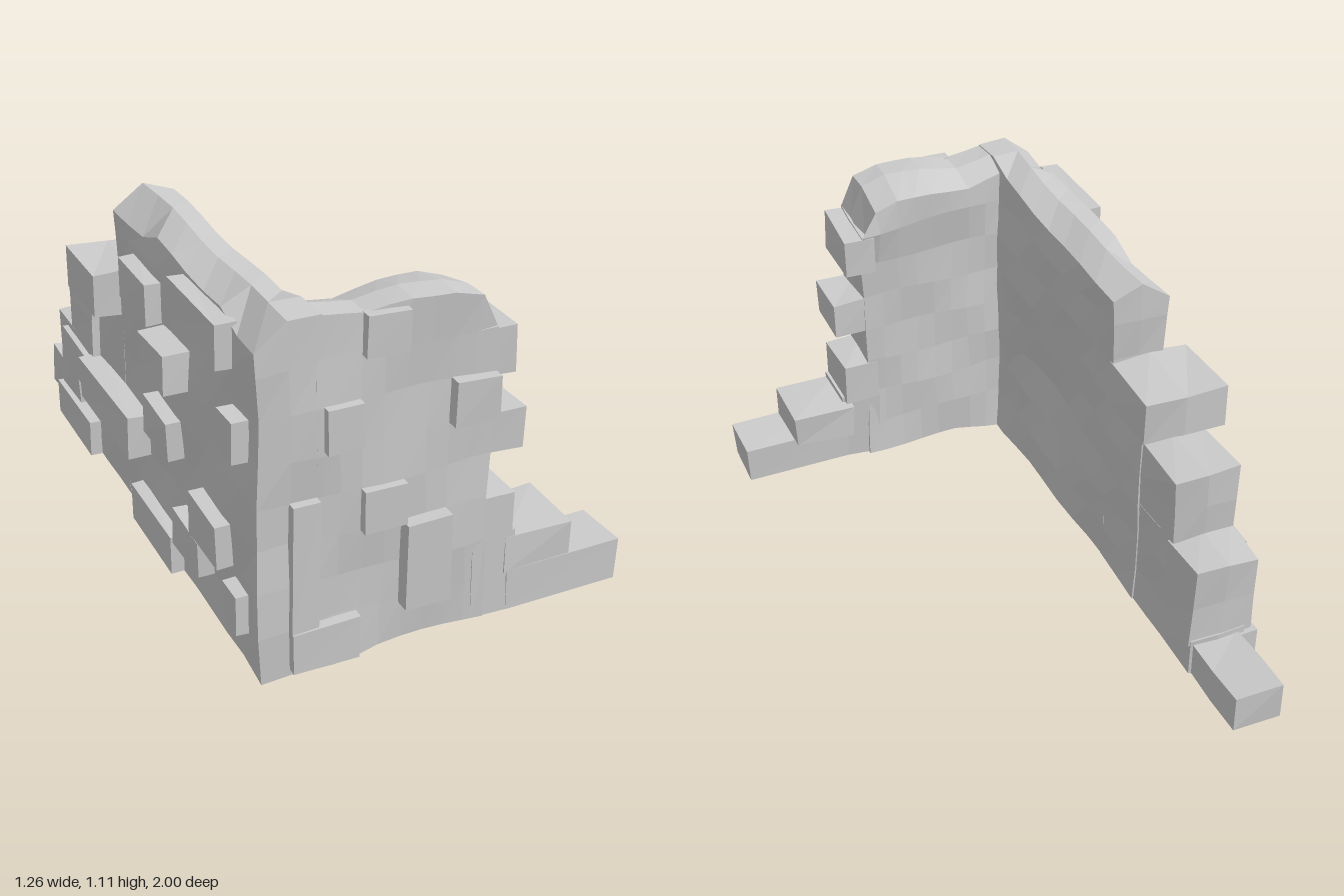
import * as THREE from 'three';

const material = new THREE.MeshStandardMaterial({ color: 0xcccccc, flatShading: true });

// smooth repeatable offset in -1..1 that depends only on position, so neighbours stay joined
const wobble = (x, y, z, seed) =>
  0.55 * Math.sin(x * 9 + y * 8 + z * 5 + seed * 2.1) + 0.45 * Math.sin(x * 14 - y * 15 + z * 11 + seed * 4.7);

// box given by its limits, with slightly uneven corners and an optional shaping rule
function stone(name, [x0, x1], [y0, y1], [z0, z1], segs = [1, 1, 1], rough = 0.008, rule = null) {
  const geo = new THREE.BoxGeometry(x1 - x0, y1 - y0, z1 - z0, ...segs);
  geo.translate((x0 + x1) / 2, (y0 + y1) / 2, (z0 + z1) / 2);
  const p = geo.attributes.position;
  const v = new THREE.Vector3();
  for (let i = 0; i < p.count; i++) {
    v.fromBufferAttribute(p, i);
    const [x, y, z] = v.toArray().map((n) => Math.round(n * 1000) / 1000);
    v.x += wobble(x, y, z, 1) * rough;
    if (y > 0.05) v.y += wobble(x, y, z, 2) * rough;
    v.z += wobble(x, y, z, 3) * rough;
    if (rule) rule(v, x, y, z);
    p.setXYZ(i, v.x, v.y, v.z);
  }
  geo.computeVertexNormals();
  const mesh = new THREE.Mesh(geo, material);
  mesh.name = name;
  return mesh;
}

// sagging foot under the corner
function sag(v, x, y, z) {
  if (y > 0.05) return;
  const d = Math.max(Math.abs(x + 0.35) / 0.2, Math.abs(z - 0.78) / 0.36);
  v.y -= 0.04 * Math.max(0, 1 - d);
  if (x < -0.5 && z > 0.9) v.y = 0.01;
}

// long wall: ridged top that is lower on the outside, and a shallow hollow inside
function longRule(v, x, y, z) {
  sag(v, x, y, z);
  if (y > 1.08) {
    if (x < -0.5) v.y -= z > 0.2 && z < 0.8 ? 0.035 : 0.075;
    else if (x > -0.37 && z < 0.8) v.y -= 0.035;
  }
  if (x > -0.37) v.x -= 0.03 * Math.exp(-(((y - 0.45) / 0.16) ** 2) - ((z - 0.3) / 0.3) ** 2);
}

// short wall: thicker towards its end, with a weathered top that drops at the break
function shortRule(v, x, y, z) {
  sag(v, x, y, z);
  if (z < 0.8) v.z -= Math.max(0, (x + 0.34) / 0.5) * (y > 0.88 ? 0.06 : 0.02);
  if (y > 1.08) {
    if (z < 0.8) v.y -= 0.035;
    if (x > 0.15) v.y -= 0.13;
    else if (x > 0.09) {
      v.y -= 0.025;
      v.x += 0.02;
    }
    v.y -= 0.022 * Math.exp(-(((x + 0.23) / 0.08) ** 2));
  }
}

// worn inner edges of the long wall steps
function stepRule(v, x) {
  if (x < -0.37) return;
  v.z += 0.012;
  if (v.y > 0.1) v.y -= 0.012;
}

// lower teeth taper back into the thickness of the short wall
function toothRule(v, x, y, z) {
  if (x < 0.15 && y < 0.8 && z < 0.78) v.z = 0.752;
}

export function createModel() {
  const model = new THREE.Group();
  model.name = 'ruinedWallCorner';

  // main bodies of the two walls
  model.add(stone('longWall', [-0.53, -0.345], [0.04, 1.1], [-0.12, 0.945], [2, 8, 9], 0.01, longRule));
  model.add(stone('shortWall', [-0.36, 0.17], [0.04, 1.1], [0.77, 0.945], [8, 8, 2], 0.01, shortRule));

  // broken steps at the end of the long wall: x, y, z limits and segments
  const longSteps = [
    [[-0.53, -0.345], [0.04, 0.71], [-0.36, -0.11], [2, 5, 2]],
    [[-0.62, -0.345], [0.69, 0.835], [-0.37, -0.11], [2, 1, 1]],
    [[-0.53, -0.35], [0.04, 0.46], [-0.57, -0.34], [2, 3, 2]],
    [[-0.555, -0.35], [0.43, 0.69], [-0.575, -0.34], [2, 2, 1]],
    [[-0.53, -0.35], [0.04, 0.19], [-0.74, -0.55], [2, 1, 1]],
    [[-0.555, -0.345], [0.17, 0.45], [-0.735, -0.55], [2, 2, 1]],
    [[-0.51, -0.36], [0.04, 0.175], [-1.0, -0.73], [1, 1, 2]],
  ];
  const longEnd = new THREE.Group();
  longEnd.name = 'longWallSteps';
  longSteps.forEach((s, i) => longEnd.add(stone('longStep' + (i + 1), ...s, 0.008, stepRule)));
  model.add(longEnd);

  // broken steps and toothed bricks at the end of the short wall
  const shortSteps = [
    [[0.13, 0.235], [0.825, 0.96], [0.71, 0.94]],
    [[0.13, 0.275], [0.57, 0.70], [0.75, 0.94]],
    [[0.13, 0.26], [0.285, 0.43], [0.74, 0.945]],
    [[0.13, 0.27], [0.04, 0.30], [0.765, 0.945]],
    [[0.24, 0.46], [0.165, 0.28], [0.72, 0.945]],
    [[0.25, 0.63], [0.04, 0.17], [0.765, 0.945]],
  ];
  const shortEnd = new THREE.Group();
  shortEnd.name = 'shortWallSteps';
  shortSteps.forEach((s, i) => shortEnd.add(stone('shortStep' + (i + 1), ...s, [1, 1, 1], 0.008, toothRule)));
  model.add(shortEnd);

  // bricks standing proud of the front face: x limits, y limits, front z
  const frontBricks = [
    [[-0.23, -0.105], [0.96, 1.08], 0.97],
    [[-0.34, -0.235], [0.71, 0.84], 0.975],
    [[0.035, 0.17], [0.705, 0.84], 0.98],
    [[-0.23, -0.1], [0.44, 0.57], 0.975],
    [[-0.105, 0.035], [0.165, 0.44], 0.99],
    [[-0.44, -0.36], [0.17, 0.57], 0.97],
    [[-0.44, -0.235], [0.04, 0.17], 0.975],
  ];
  const front = new THREE.Group();
  front.name = 'frontBricks';
  frontBricks.forEach(([x, y, z], i) => front.add(stone('frontBrick' + (i + 1), x, y, [0.93, z], [1, 1, 1], 0.004)));
  model.add(front);

  // bricks standing proud of the outer side face: outer x, y limits, z limits
  const sideBricks = [
    [-0.58, [0.92, 1.05], [0.45, 0.79]],
    [-0.575, [0.68, 0.81], [0.78, 0.88]],
    [-0.58, [0.82, 0.945], [0.04, 0.27]],
    [-0.61, [0.70, 0.82], [0.28, 0.48]],
    [-0.58, [0.445, 0.57], [0.2, 0.4]],
    [-0.58, [0.30, 0.435], [0.56, 0.77]],
    [-0.575, [0.17, 0.29], [0.41, 0.61]],
    [-0.57, [0.15, 0.27], [0.78, 0.88]],
    [-0.57, [0.04, 0.165], [0.03, 0.38]],
    [-0.60, [0.30, 0.44], [-0.36, 0.11]],
    [-0.575, [0.30, 0.43], [-0.63, -0.38]],
    [-0.57, [0.04, 0.165], [-0.75, -0.40]],
  ];
  const side = new THREE.Group();
  side.name = 'sideBricks';
  sideBricks.forEach(([x, y, z], i) => side.add(stone('sideBrick' + (i + 1), [x, -0.515], y, z, [1, 1, 1], 0.005)));
  model.add(side);

  return model;
}
